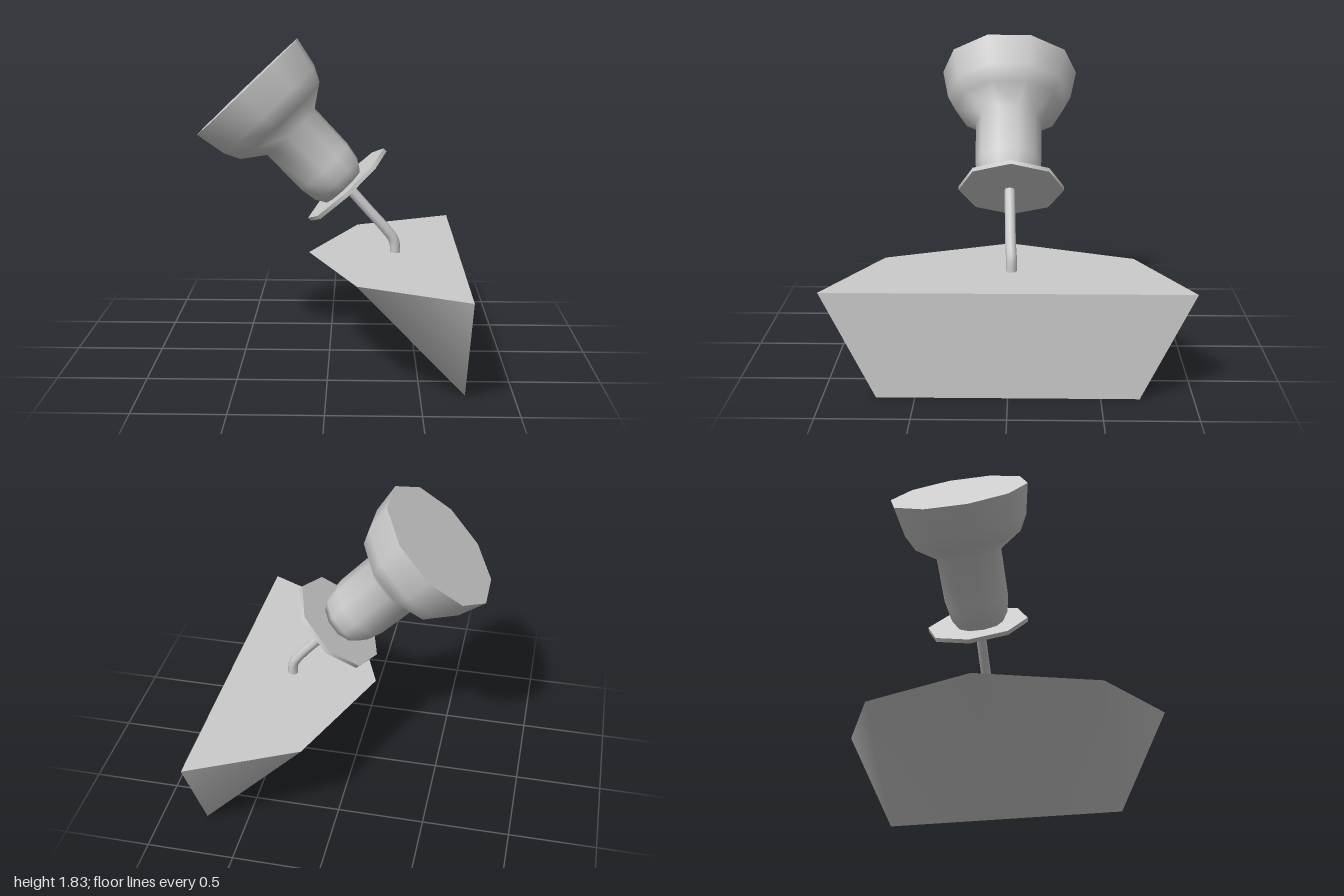
import * as THREE from 'three';

const material = new THREE.MeshStandardMaterial({ color: 0xcccccc });

function addMesh(parent, name, geometry) {
  const mesh = new THREE.Mesh(geometry, material);
  mesh.name = name;
  parent.add(mesh);
  return mesh;
}

// Smooth geometry from corner points and triangles
function facets(points, triangles) {
  const g = new THREE.BufferGeometry();
  g.setAttribute('position', new THREE.Float32BufferAttribute(points.flat(), 3));
  g.setIndex(triangles.flat());
  g.computeVertexNormals();
  return g;
}

export function createModel() {
  const model = new THREE.Group();
  model.name = 'wallLamp';

  // Wedge base: a half octagon on top narrowing to a straight lower edge
  const base = new THREE.Group();
  base.name = 'base';
  model.add(base);
  const corners = [
    [0.75, 0.6, 1], [0.16, 0.6, 0.71], [-0.12, 0.6, 0], [0.16, 0.6, -0.71], [0.75, 0.6, -1],
    [0.74, 0, 0.71], [0.74, 0, 0], [0.74, 0, -0.71],
  ];
  addMesh(base, 'baseTop', facets(corners, [[0, 4, 3], [0, 3, 2], [0, 2, 1]]));
  addMesh(base, 'basePlate', facets(corners, [[0, 5, 7], [0, 7, 4]]));
  addMesh(base, 'baseSlope', facets(corners,
    [[0, 1, 5], [1, 6, 5], [1, 2, 6], [2, 3, 6], [3, 7, 6], [3, 4, 7]]));

  // Bent stem
  const path = new THREE.CatmullRomCurve3([
    [0.09, 1.01, 0], [0.22, 0.86, -0.005], [0.335, 0.73, -0.01], [0.375, 0.67, -0.015], [0.383, 0.58, -0.015],
  ].map((p) => new THREE.Vector3(...p)));
  addMesh(model, 'stem', new THREE.TubeGeometry(path, 20, 0.03, 8));

  // Tilted lamp head, built along its own axis
  const head = new THREE.Group();
  head.name = 'lampHead';
  head.position.set(0.1, 1.0, 0);
  head.rotation.z = 0.757;
  model.add(head);

  const disc = addMesh(head, 'disc', new THREE.CylinderGeometry(0.3, 0.3, 0.024, 8));
  disc.position.z = -0.01;

  // Socket and flared shade in one turned profile
  const profile = [
    [0, 0], [0.135, 0.01], [0.172, 0.07], [0.19, 0.17], [0.193, 0.447],
    [0.32, 0.537], [0.365, 0.627], [0.4, 0.803],
  ].map(([r, y]) => new THREE.Vector2(r, y));
  const shade = addMesh(head, 'shade', new THREE.LatheGeometry(profile, 10));
  shade.position.set(-0.018, 0, 0.01);

  // Flat lens closing the shade
  const lens = addMesh(head, 'lens',
    new THREE.CircleGeometry(0.4, 10, Math.PI / 2).rotateX(-Math.PI / 2));
  lens.position.set(-0.018, 0.803, 0.01);

  return model;
}
